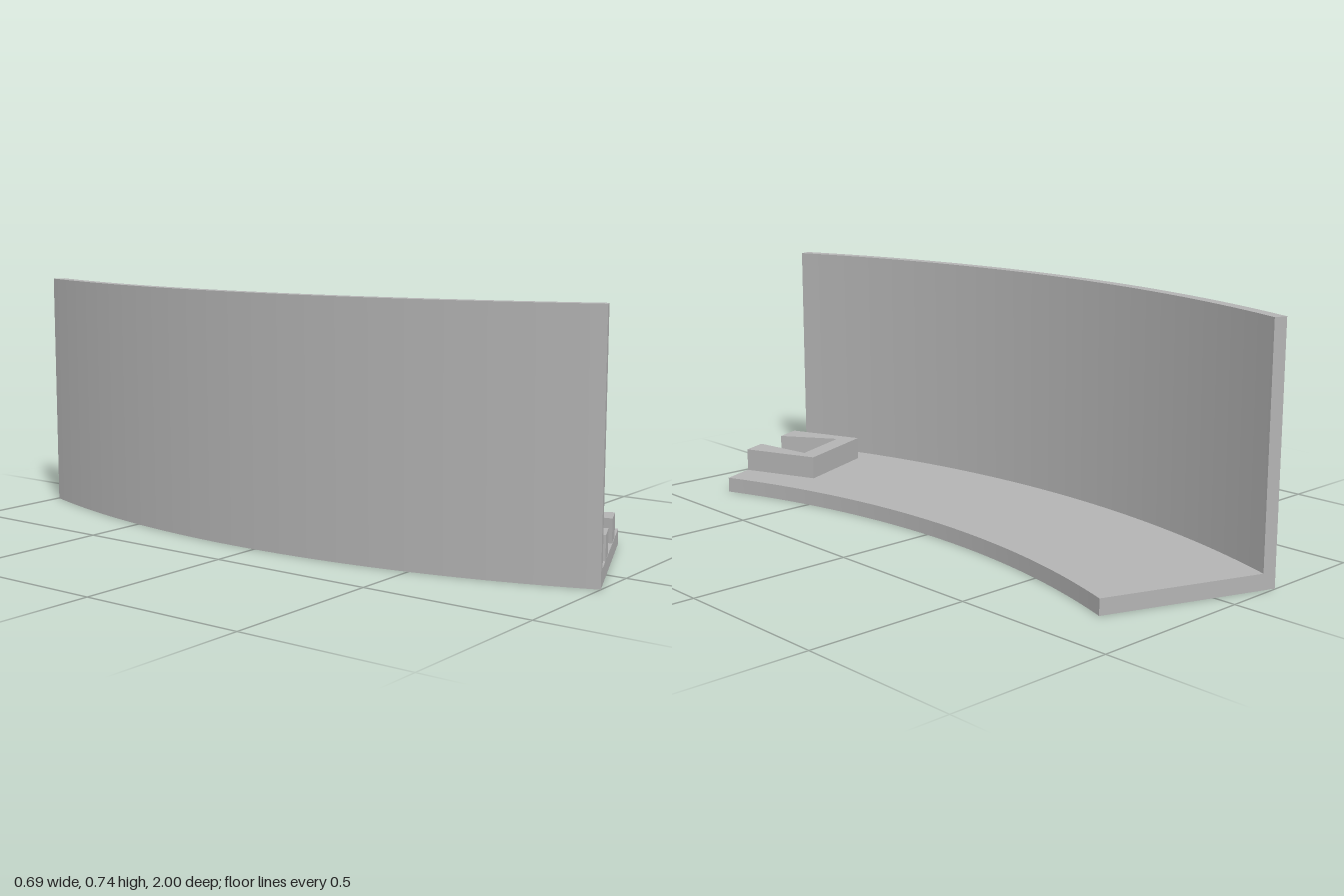
import * as THREE from 'three';
import { toCreasedNormals } from 'three/addons/utils/BufferGeometryUtils.js';

const CENTER = { x: 2.453, z: -0.04 };          // shared centre of all arcs
const BACK = Math.PI - 0.349, FRONT = Math.PI + 0.3805;
const OUTER = 2.8, WALL_INNER = 2.762, INNER = 2.27;
const FLOOR = 0.047;

// Ring sector in plan (shape y is -z)
function sector(rOut, rIn) {
  const s = new THREE.Shape();
  s.absarc(CENTER.x, -CENTER.z, rOut, BACK, FRONT, false);
  s.absarc(CENTER.x, -CENTER.z, rIn, FRONT, BACK, true);
  s.closePath();
  return s;
}

// Raise a plan shape from y0 to y1
function raise(shape, y0, y1) {
  const g = new THREE.ExtrudeGeometry(shape, { depth: y1 - y0, bevelEnabled: false, curveSegments: 48 });
  g.rotateX(-Math.PI / 2);
  g.translate(0, y0, 0);
  return toCreasedNormals(g, 0.5);
}

export function createModel() {
  const model = new THREE.Group();
  model.name = 'curvedBracket';
  const grey = new THREE.MeshStandardMaterial({ color: 0xb3b3b3 });
  grey.name = 'grey';

  const add = (name, geometry) => {
    const mesh = new THREE.Mesh(geometry, grey);
    mesh.name = name;
    model.add(mesh);
  };

  // Tall curved wall and the flat floor inside it
  add('curvedWall', raise(sector(OUTER, WALL_INNER), 0, 0.737));
  add('floorPlate', raise(sector(WALL_INNER, INNER), 0, FLOOR));

  // Raised socket with a tapered slot open at the front end
  const plan = [
    [-0.037, 0.956], [0.045, 0.922], [-0.07, 0.755], [0.13, 0.674],
    [0.16, 0.876], [0.24, 0.844], [0.145, 0.606], [-0.13, 0.715],
  ].map(([x, z]) => new THREE.Vector2(x, -z));
  add('slottedSocket', raise(new THREE.Shape(plan), FLOOR, 0.118));

  return model;
}
